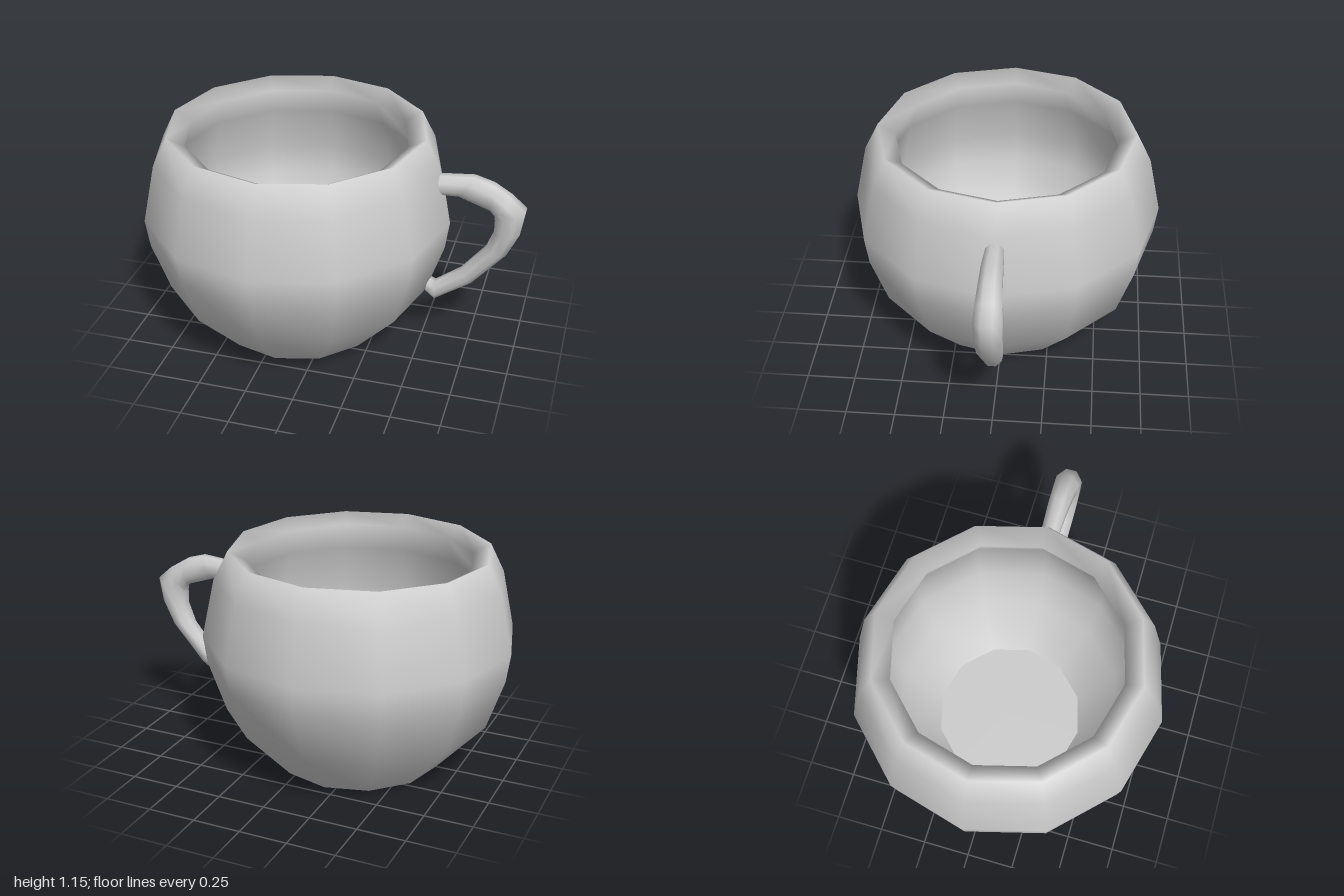
import * as THREE from 'three';

const SIDES = 12;
const CUP_X = -0.19;

// Handle stations: outer x, y, inner x, y, half width in z
const STATIONS = [
  [0.55, 0.97, 0.55, 0.865, 0.045],
  [0.73, 0.985, 0.66, 0.87, 0.052],
  [0.83, 0.955, 0.82, 0.815, 0.058],
  [0.92, 0.9, 0.845, 0.79, 0.064],
  [1.0, 0.83, 0.85, 0.765, 0.07],
  [0.98, 0.7, 0.85, 0.69, 0.066],
  [0.92, 0.57, 0.81, 0.585, 0.06],
  [0.75, 0.37, 0.69, 0.44, 0.048],
  [0.56, 0.24, 0.56, 0.345, 0.04],
  [0.51, 0.28, 0.525, 0.36, 0.036],
];

// Octagonal ring around one handle station
function ring([ox, oy, ix, iy, w]) {
  const grow = 1 / Math.cos(Math.PI / 8);
  return Array.from({ length: 8 }, (_, k) => {
    const a = ((k + 0.5) * Math.PI) / 4;
    const u = (Math.cos(a) * grow) / 2;
    return [
      (ox + ix) / 2 + (ox - ix) * u,
      (oy + iy) / 2 + (oy - iy) * u,
      Math.sin(a) * grow * w,
    ];
  });
}

function buildGeometry(points, index) {
  const g = new THREE.BufferGeometry();
  g.setAttribute('position', new THREE.Float32BufferAttribute(points.flat(), 3));
  g.setIndex(index);
  g.computeVertexNormals();
  return g;
}

// Smooth skin joining consecutive rings
function loft(rings) {
  const index = [];
  for (let s = 0; s < rings.length - 1; s++) {
    for (let k = 0; k < 8; k++) {
      const a = s * 8 + k;
      const b = s * 8 + ((k + 1) % 8);
      index.push(a, b, a + 8, b, b + 8, a + 8);
    }
  }
  return buildGeometry(rings.flat(), index);
}

// Flat end of the handle
function cap(points, atStart) {
  const index = [];
  for (let k = 1; k < 7; k++) index.push(0, atStart ? k + 1 : k, atStart ? k : k + 1);
  return buildGeometry(points, index);
}

export function createModel() {
  const model = new THREE.Group();
  model.name = 'mug';
  const glaze = new THREE.MeshStandardMaterial({ color: 0xcccccc });
  glaze.name = 'grey glaze';

  const add = (parent, name, geometry) => {
    const mesh = new THREE.Mesh(geometry, glaze);
    mesh.name = name;
    parent.add(mesh);
  };

  // Twelve-sided cup; separate profiles keep the foot and floor edges sharp
  const cup = new THREE.Group();
  cup.name = 'cup';
  cup.position.x = CUP_X;
  model.add(cup);
  const profiles = {
    underside: [[0, 0.04], [0.31, 0.04]],
    footRing: [[0.31, 0.04], [0.445, 0]],
    wall: [
      [0.445, 0], [0.7, 0.28], [0.79, 0.55], [0.81, 0.7], [0.745, 1.0], [0.67, 1.15],
      [0.58, 1.1], [0.64, 0.95], [0.7, 0.7], [0.68, 0.55], [0.6, 0.31], [0.395, 0.1],
    ],
    insideFloor: [[0.395, 0.1], [0, 0.1]],
  };
  for (const [name, points] of Object.entries(profiles)) {
    add(cup, name, new THREE.LatheGeometry(points.map(([r, y]) => new THREE.Vector2(r, y)), SIDES));
  }

  // Curved handle, widest at the outer bend
  const handle = new THREE.Group();
  handle.name = 'handle';
  model.add(handle);
  const rings = STATIONS.map(ring);
  add(handle, 'handleGrip', loft(rings));
  add(handle, 'handleTopEnd', cap(rings[0], true));
  add(handle, 'handleLowerEnd', cap(rings[rings.length - 1], false));

  return model;
}
